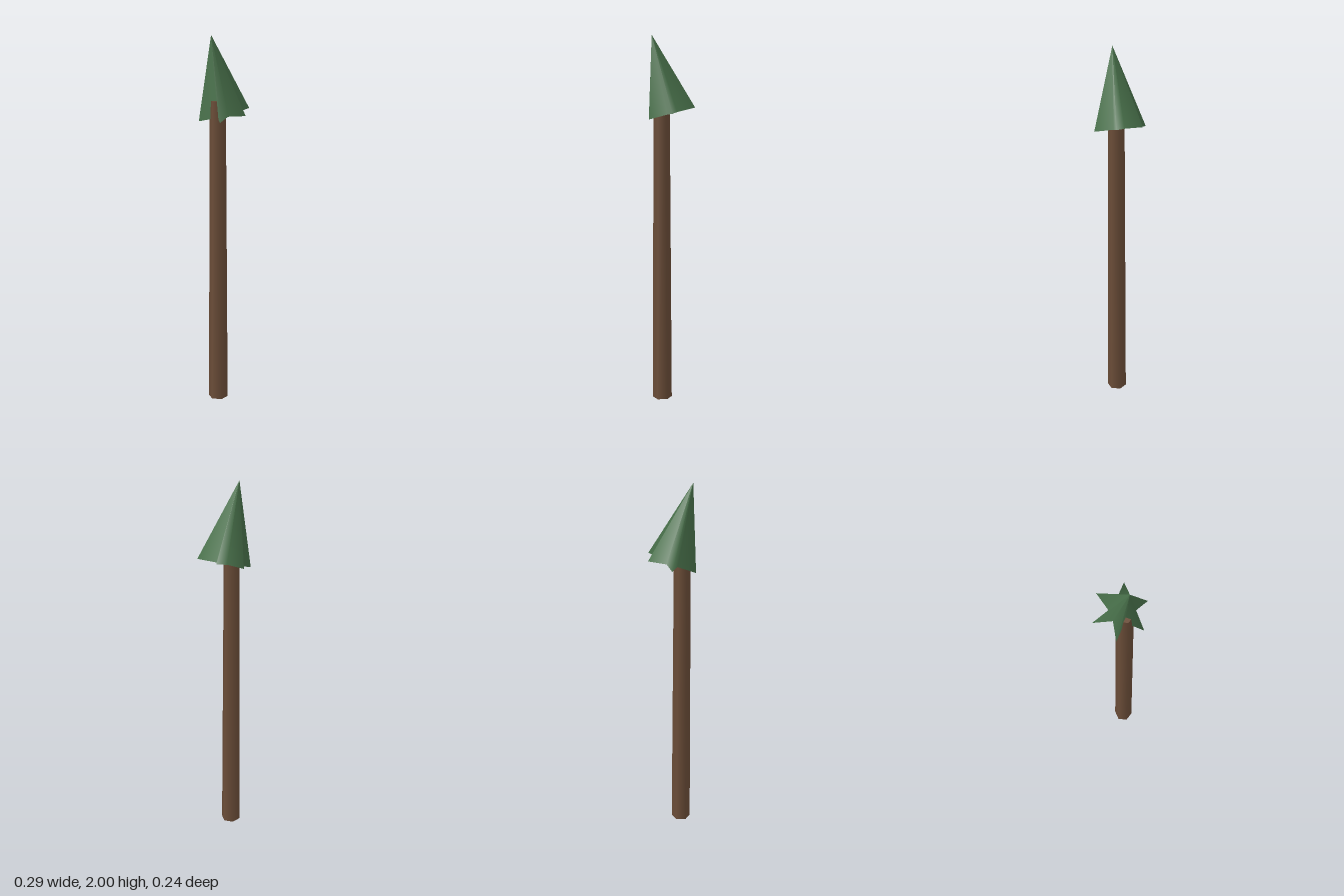
import * as THREE from 'three';

const add = (group, name, geometry, color) => {
  const mesh = new THREE.Mesh(geometry, new THREE.MeshStandardMaterial({ color }));
  mesh.name = name;
  group.add(mesh);
  return mesh;
};

export function createModel() {
  const group = new THREE.Group();
  group.name = 'tree';

  // Trunk: tall, slightly tapered six-sided column
  const trunkHeight = 1.665;
  const trunk = add(group, 'trunk', new THREE.CylinderGeometry(0.043, 0.054, trunkHeight, 6), 0x6b4d38);
  trunk.position.set(0, trunkHeight / 2, 0.053);

  // Foliage: twelve-sided cone with every other base corner pulled in to make a six-pointed star
  const outer = 0.145, inner = 0.057, height = 0.423;
  const star = new THREE.ConeGeometry(outer, height, 12);
  star.translate(0, height / 2, 0);
  const pos = star.attributes.position;
  for (let i = 0; i < pos.count; i++) {
    const x = pos.getX(i), z = pos.getZ(i);
    if (Math.hypot(x, z) < 0.01) continue;
    const corner = Math.round(Math.atan2(x, z) / (Math.PI / 6));
    if (corner % 2 === 0) pos.setXYZ(i, x * inner / outer, pos.getY(i), z * inner / outer);
  }
  const foliage = add(group, 'foliage', star, 0x48704a);

  // The crown leans forward
  foliage.position.set(0, 1.59, 0);
  foliage.rotation.x = Math.atan2(0.105, 0.41);

  return group;
}
